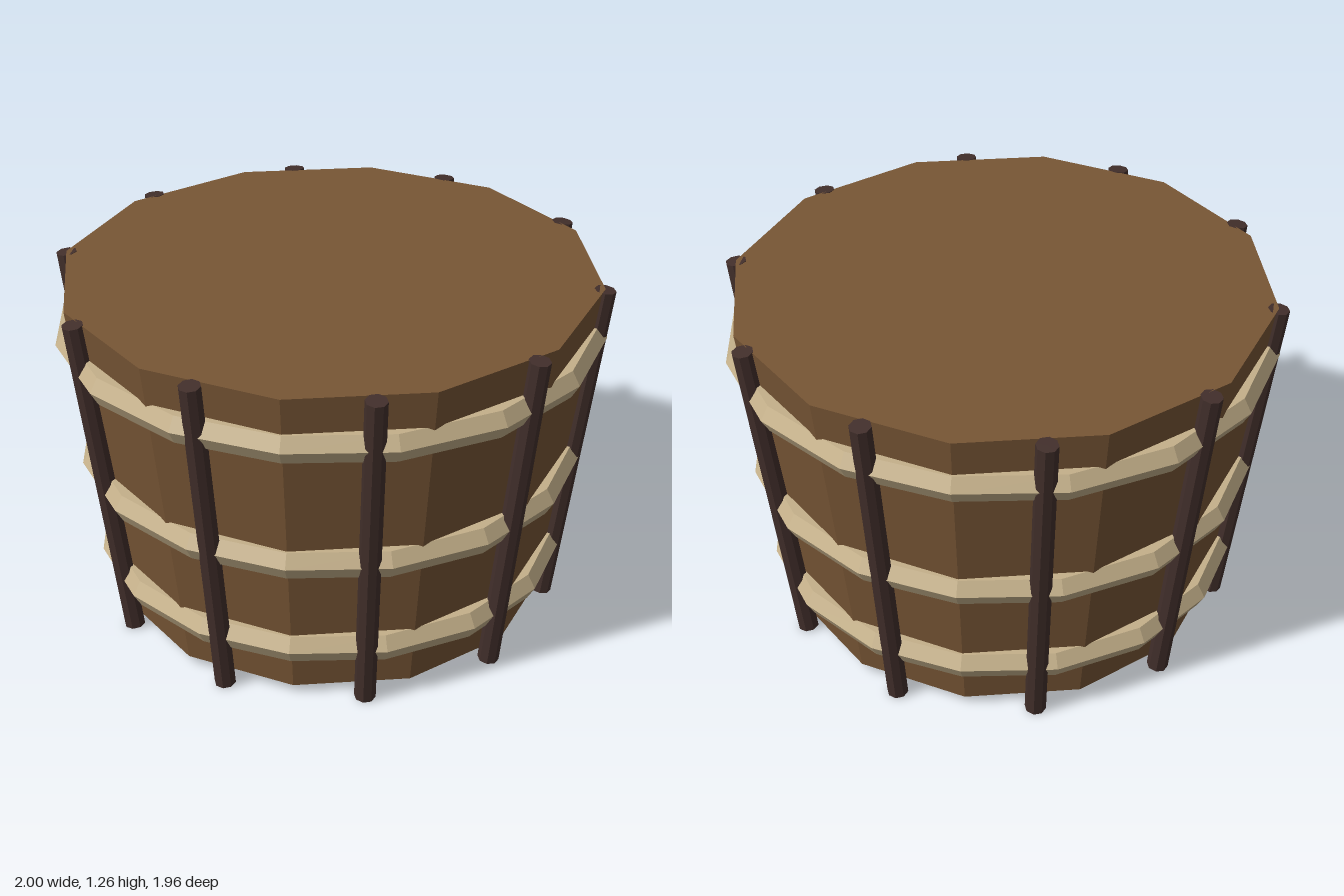
import * as THREE from 'three';

const flat = (name, color) => {
  const m = new THREE.MeshStandardMaterial({ color, flatShading: true });
  m.name = name;
  return m;
};

export function createModel() {
  const group = new THREE.Group();
  group.name = 'basket';
  const wood = flat('brown wood', 0x785635);
  const cane = flat('pale cane', 0xc4b08a);
  const bark = flat('dark bark', 0x422f2b);

  const add = (name, geometry, material) => {
    const mesh = new THREE.Mesh(geometry, material);
    mesh.name = name;
    group.add(mesh);
    return mesh;
  };

  // Closed, flared twelve-sided tub
  add('body', new THREE.CylinderGeometry(0.96, 0.79, 1.225, 12), wood).position.y = 0.65;

  // Three hexagonal-section hoops: [radius, height]
  for (const [radius, y] of [[0.92, 1.077], [0.854, 0.596], [0.802, 0.221]]) {
    const hoop = add('hoop', new THREE.TorusGeometry(radius, 0.058, 6, 16), cane);
    hoop.rotation.x = Math.PI / 2;
    hoop.position.y = y;
  }

  // Ten leaning stakes around the outside
  const up = new THREE.Vector3(0, 1, 0);
  for (let i = 0; i < 10; i++) {
    const a = (i * Math.PI) / 5;
    const bottom = new THREE.Vector3(0.802 * Math.cos(a), 0.005, 0.802 * Math.sin(a));
    const top = new THREE.Vector3(0.96 * Math.cos(a), 1.26, 0.96 * Math.sin(a));
    const axis = top.clone().sub(bottom);
    const stake = add('stake', new THREE.CylinderGeometry(0.038, 0.038, axis.length(), 8), bark);
    stake.position.copy(bottom).add(top).multiplyScalar(0.5);
    stake.quaternion.setFromUnitVectors(up, axis.normalize());
  }
  return group;
}
